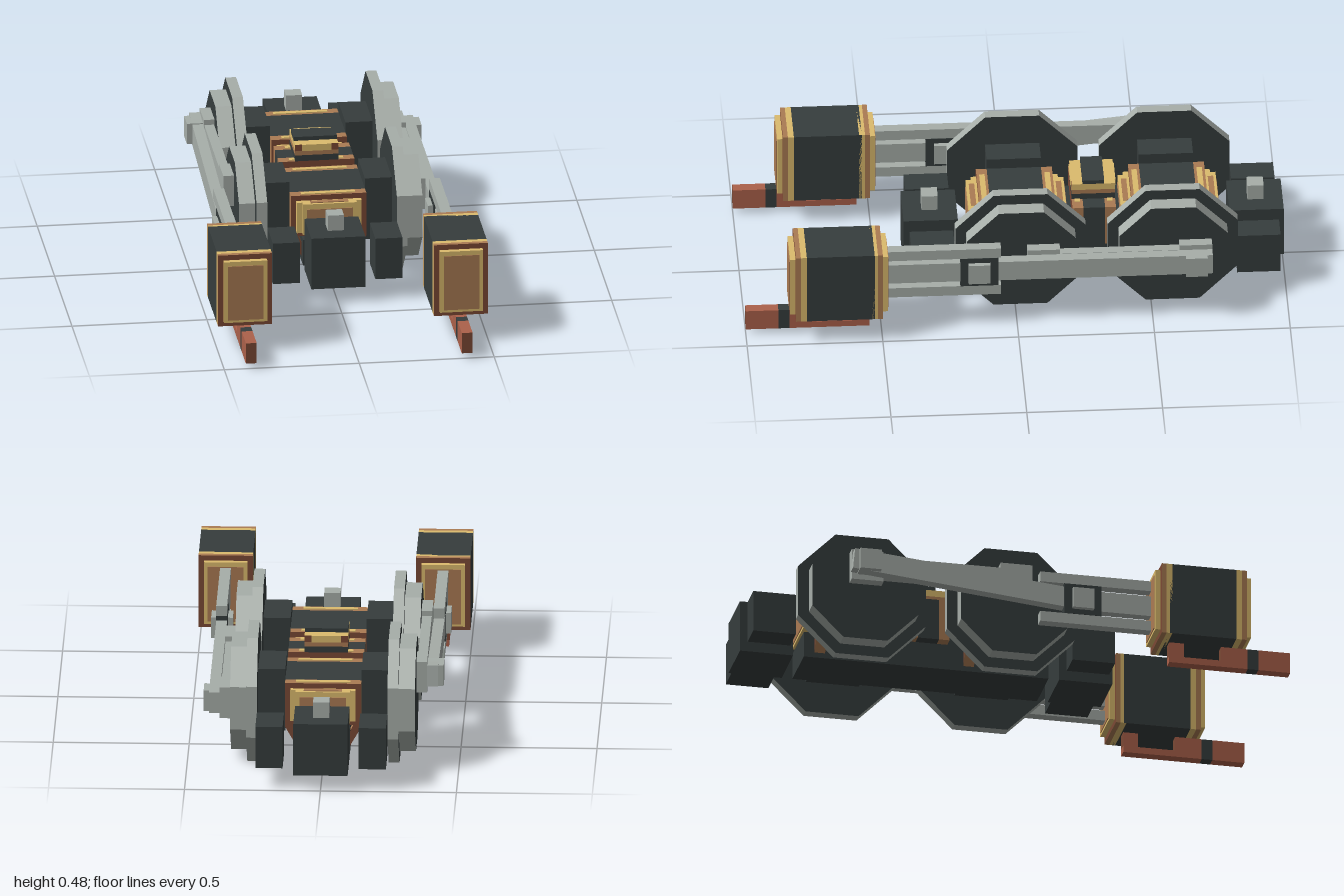
import * as THREE from 'three';

const mat = (name, color) => {
  const m = new THREE.MeshStandardMaterial({ color });
  m.name = name;
  return m;
};

export function createModel() {
  const root = new THREE.Group();
  root.name = 'runningGear';
  const dark = mat('dark iron', 0x363d3d);
  const steel = mat('light steel', 0xa7aea9);
  const gold = mat('brass', 0xdcbb6d);
  const tan = mat('bronze', 0xab7b53);
  const brown = mat('brown', 0x7b4935);
  const copper = mat('copper', 0xac614a);
  // side faces in one colour, brown faces to front and back
  const brownEnds = (m) => [m, m, m, m, brown, brown];

  // box given by its limits on each axis
  const box = (parent, name, m, x0, x1, y0, y1, z0, z1) => {
    const mesh = new THREE.Mesh(new THREE.BoxGeometry(x1 - x0, y1 - y0, z1 - z0), m);
    mesh.position.set((x0 + x1) / 2, (y0 + y1) / 2, (z0 + z1) / 2);
    mesh.name = name;
    parent.add(mesh);
    return mesh;
  };
  // box centred on x, its z limits counted outwards from an origin towards either end
  const endBox = (parent, name, m, x, w, y0, y1, z, sign, a, b) =>
    box(parent, name, m, x - w, x + w, y0, y1, z + Math.min(sign * a, sign * b), z + Math.max(sign * a, sign * b));
  const group = (name) => {
    const g = new THREE.Group();
    g.name = name;
    root.add(g);
    return g;
  };

  const axles = [-0.58, -0.02];
  const AXLE_Y = 0.24;

  // octagonal disc: steel rim, dark faces
  const disc = (parent, name, x, width, apothem) => {
    const r = apothem / Math.cos(Math.PI / 8);
    const geo = new THREE.CylinderGeometry(r, r, width, 8, 1, false, Math.PI / 8).toNonIndexed();
    geo.computeVertexNormals();
    geo.rotateZ(Math.PI / 2);
    const mesh = new THREE.Mesh(geo, [steel, dark, dark]);
    mesh.position.x = x;
    mesh.name = name;
    parent.add(mesh);
  };

  // wheel sets with axle boxes
  for (const z of axles) {
    const set = group('wheelSet');
    set.position.set(0, AXLE_Y, z);
    for (const s of [-1, 1]) {
      disc(set, 'flange', s * 0.26, 0.04, 0.24);
      disc(set, 'tread', s * 0.31, 0.06, 0.2);
      box(set, 'axleBox', dark, s * 0.19 - 0.05, s * 0.19 + 0.05, -0.12, 0.12, -0.1, 0.1);
    }
  }

  // dark core with a flange and brass inlay at both ends
  const casing = (name, zc, half) => {
    const g = group(name);
    g.position.z = zc;
    box(g, 'core', dark, -0.14, 0.14, 0.16, 0.32, -half, half);
    for (const s of [-1, 1]) {
      endBox(g, 'endFlange', brownEnds(tan), 0, 0.14, 0.16, 0.32, 0, s, half, half + 0.04);
      endBox(g, 'flangeInlay', gold, 0, 0.1, 0.32, 0.323, 0, s, half + 0.01, half + 0.03);
    }
    return g;
  };

  // motors: stepped end caps and slanted braces to the keel
  for (const z of axles) {
    const g = casing('motor', z, 0.1);
    for (const s of [-1, 1]) {
      endBox(g, 'endCap', gold, 0, 0.12, 0.18, 0.3, 0, s, 0.14, 0.16);
      endBox(g, 'endCapOuter', gold, 0, 0.1, 0.18, 0.3, 0, s, 0.16, 0.18);
      endBox(g, 'capInlay', tan, 0, 0.07, 0.3, 0.303, 0, s, 0.15, 0.17);
      endBox(g, 'endPanel', tan, 0, 0.085, 0.19, 0.28, 0, s, 0.18, 0.183);
      for (const side of [-1, 1]) {
        const shape = new THREE.Shape([
          [0.14, 0.18], [0.12, 0.18], [0.075, 0.08], [0.1, 0.08], [0.14, 0.15],
        ].map(([x, y]) => new THREE.Vector2(side * x, y)));
        const brace = new THREE.Mesh(
          new THREE.ExtrudeGeometry(shape, { depth: 0.04, bevelEnabled: false }), [brown, tan]);
        brace.position.z = s * 0.12 - 0.02;
        brace.name = 'brace';
        g.add(brace);
      }
    }
  }

  // gearbox between the motors, with a banded cover
  const gear = casing('gearbox', -0.3, 0.04);
  box(gear, 'coverBase', dark, -0.08, 0.08, 0.32, 0.343, -0.08, 0.08);
  box(gear, 'coverBand', tan, -0.08, 0.08, 0.343, 0.36, -0.08, 0.08);
  box(gear, 'coverStrip', [gold, gold, gold, gold, brown, brown], -0.08, 0.08, 0.36, 0.385, -0.08, 0.08);
  box(gear, 'stripCentre', gold, -0.055, 0.055, 0.36, 0.385, -0.083, 0.083);
  box(gear, 'coverLid', dark, -0.08, 0.08, 0.385, 0.4, -0.04, 0.04);

  // frame
  const frame = group('frame');
  box(frame, 'keel', dark, -0.1, 0.1, 0.06, 0.16, -0.76, 0.16);
  box(frame, 'spine', dark, -0.1, 0.1, 0.16, 0.26, -0.6, 0);
  for (const z of [-0.9, 0.3]) {
    box(frame, 'bufferBlock', dark, -0.1, 0.1, 0.06, 0.26, z - 0.1, z + 0.1);
    box(frame, 'couplingPin', steel, -0.03, 0.03, 0.26, 0.32, z - 0.03, z + 0.03);
    for (const x of [-0.19, 0.19])
      box(frame, 'sandBox', dark, x - 0.05, x + 0.05, 0.08, 0.24, z - 0.08, z + 0.08);
  }

  // cylinders and rods; the cranks are a quarter turn apart
  for (const s of [-1, 1]) {
    const X = s * 0.4;
    const side = group(s > 0 ? 'leftDrive' : 'rightDrive');
    const at = (name, m, w, y0, y1, z0, z1) =>
      box(side, name, m, X - w, X + w, y0, y1, z0, z1);

    at('cylinderBody', dark, 0.1, 0.1, 0.38, 0.53, 0.78);
    for (const e of [-1, 1]) {
      const ring = (n, m, w, y0, y1, a, b) => endBox(side, n, m, X, w, y0, y1, 0.66, e, a, b);
      ring('cylinderBand', gold, 0.1, 0.1, 0.38, 0.12, 0.142);
      ring('cylinderRim', brownEnds(tan), 0.1, 0.1, 0.38, 0.142, 0.16);
      ring('cylinderCover', gold, 0.08, 0.12, 0.36, 0.16, 0.18);
      ring('coverPanel', tan, 0.066, 0.13, 0.343, 0.18, 0.183);
    }

    // copper pipe under the cylinder
    at('pipeFront', brownEnds(copper), 0.02, 0.02, 0.1, 0.88, 1);
    at('pipeCollar', dark, 0.02, 0.02, 0.1, 0.84, 0.88);
    at('pipeMiddle', brownEnds(copper), 0.02, 0.02, 0.1, 0.74, 0.84);
    at('pipeRear', copper, 0.02, 0.02, 0.045, 0.545, 0.74);
    at('pipeRiser', brownEnds(copper), 0.02, 0.045, 0.1, 0.545, 0.6);

    // crank offset: towards the back on one side, upwards on the other
    const dz = s > 0 ? -0.08 : 0;
    const py = s > 0 ? AXLE_Y : AXLE_Y + 0.08;
    const xin = s * 0.36;
    for (const z of axles)
      box(side, 'rodBoss', steel, xin - 0.02, xin + 0.02, py - 0.06, py + 0.06, z + dz - 0.06, z + dz + 0.06);
    box(side, 'couplingRod', steel, xin - 0.018, xin + 0.018, py - 0.04, py + 0.04, axles[0] + dz, axles[1] + dz);

    // main rod from crank pin to crosshead
    const pz = axles[0] + dz;
    const cz = 0.22 + dz;
    at('crankPin', steel, 0.04, py - 0.04, py + 0.04, pz - 0.04, pz + 0.04);
    const rod = at('mainRod', steel, 0.02, -0.04, 0.04, -0.06, Math.hypot(cz - pz, py - AXLE_Y));
    rod.geometry.translate(0, 0, rod.position.z);
    rod.position.set(X, py, pz);
    rod.rotation.x = Math.atan2(py - AXLE_Y, cz - pz);

    // crosshead, guides and piston rod
    at('crosshead', dark, 0.0215, 0.18, 0.3, cz - 0.07, cz + 0.07);
    at('crossheadPin', steel, 0.04, 0.2, 0.28, cz - 0.04, cz + 0.04);
    at('pistonRod', steel, 0.018, 0.2, 0.28, cz, 0.49);
    at('upperGuide', steel, 0.02, 0.3, 0.34, 0.06, 0.49);
    at('lowerGuide', steel, 0.02, 0.14, 0.18, 0.06, 0.49);
  }
  return root;
}
